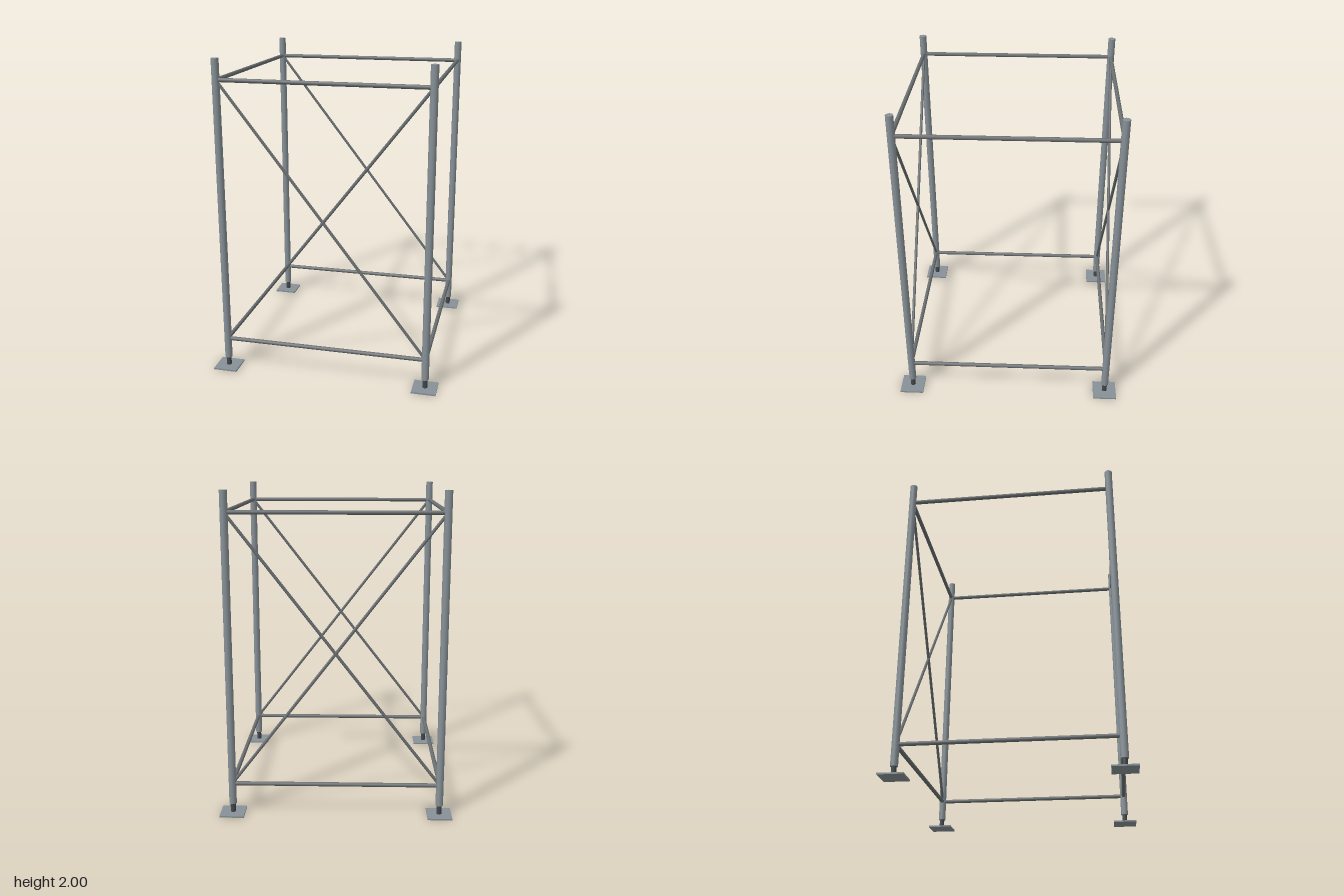
import * as THREE from 'three';

const HALF = 0.645;          // post centre line from the middle
const LOW = 0.197, HIGH = 1.872; // ledger heights

const mat = (name, color) => {
  const m = new THREE.MeshStandardMaterial({ color });
  m.name = name;
  return m;
};

export function createModel() {
  const steel = mat('galvanised steel', 0x879197);
  const darkSteel = mat('dark tube steel', 0x6c7173);
  const jackSteel = mat('jack steel', 0x44484b);
  const group = new THREE.Group();
  group.name = 'scaffoldBay';

  // Round tube running between two points
  const tube = (name, a, b, radius, sides, material) => {
    const dir = b.clone().sub(a);
    const mesh = new THREE.Mesh(new THREE.CylinderGeometry(radius, radius, dir.length(), sides), material);
    mesh.name = name;
    mesh.position.copy(a).add(b).multiplyScalar(0.5);
    mesh.quaternion.setFromUnitVectors(new THREE.Vector3(0, 1, 0), dir.normalize());
    group.add(mesh);
  };
  const v = (x, y, z) => new THREE.Vector3(x, y, z);

  for (const x of [-HALF, HALF]) {
    for (const z of [-HALF, HALF]) {
      // Base plate, screw jack and upright at each corner
      const plate = new THREE.Mesh(new THREE.BoxGeometry(0.152, 0.01, 0.152), steel);
      plate.name = 'basePlate';
      plate.position.set(x, 0.005, z);
      group.add(plate);
      tube('screwJack', v(x, 0.01, z), v(x, 0.1, z), 0.016, 10, jackSteel);
      tube('post', v(x, 0.066, z), v(x, 2, z), 0.0235, 12, steel);
    }
  }

  for (const s of [-HALF, HALF]) {
    // Horizontal ledgers around the bottom and top
    for (const y of [LOW, HIGH]) {
      tube('ledger', v(-HALF, y, s), v(HALF, y, s), 0.013, 10, darkSteel);
      tube('transom', v(s, y, -HALF), v(s, y, HALF), 0.013, 10, darkSteel);
    }
    // Crossed diagonals on the front and back
    tube('diagonalBrace', v(-HALF, LOW, s), v(HALF, HIGH, s), 0.0095, 8, darkSteel);
    tube('diagonalBrace', v(-HALF, HIGH, s), v(HALF, LOW, s), 0.0095, 8, darkSteel);
  }
  return group;
}
